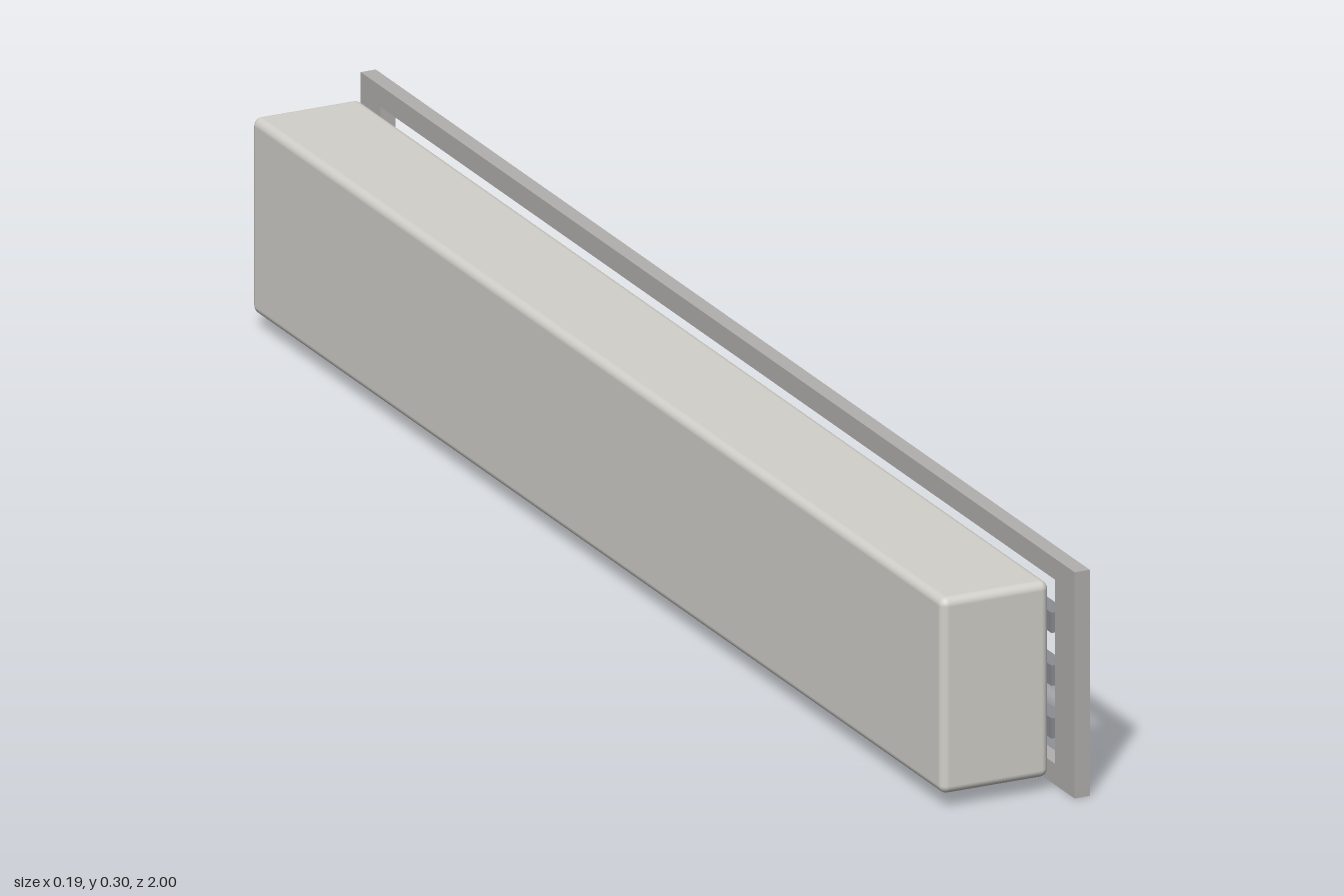
import * as THREE from 'three';
import { RoundedBoxGeometry } from 'three/addons/geometries/RoundedBoxGeometry.js';

const material = (color) => new THREE.MeshStandardMaterial({ color });

function addPart(group, name, geometry, mat, x, y) {
  const mesh = new THREE.Mesh(geometry, mat);
  mesh.name = name;
  mesh.position.set(x, y, 0);
  group.add(mesh);
  return mesh;
}

// Rectangle outline centred on x, from y0 to y1
function rectangle(PathType, halfWidth, y0, y1) {
  return new PathType([
    new THREE.Vector2(-halfWidth, y0),
    new THREE.Vector2(halfWidth, y0),
    new THREE.Vector2(halfWidth, y1),
    new THREE.Vector2(-halfWidth, y1),
  ]);
}

export function createModel() {
  const group = new THREE.Group();
  group.name = 'ventUnit';

  // Long housing with softened edges
  addPart(group, 'housing', new RoundedBoxGeometry(0.15, 0.26, 1.935, 4, 0.011),
    material(0xd2d0ca), -0.02, 0.15);

  // Flat grille frame with one long opening, facing +x
  const outline = rectangle(THREE.Shape, 1, 0, 0.3);
  outline.holes.push(rectangle(THREE.Path, 0.945, 0.028, 0.272));
  const frame = new THREE.ExtrudeGeometry(outline, { depth: 0.021, bevelEnabled: false });
  frame.rotateY(Math.PI / 2);
  addPart(group, 'grilleFrame', frame, material(0xb2b0ae), 0.073, 0);

  // Three horizontal slats across the opening, standing slightly behind the frame
  const slat = new THREE.BoxGeometry(0.021, 0.027, 1.89);
  const slatMaterial = material(0x8a8d94);
  for (let i = 0; i < 3; i++) {
    addPart(group, `slat${i + 1}`, slat, slatMaterial, 0.0785, 0.0755 + i * 0.07);
  }

  return group;
}
